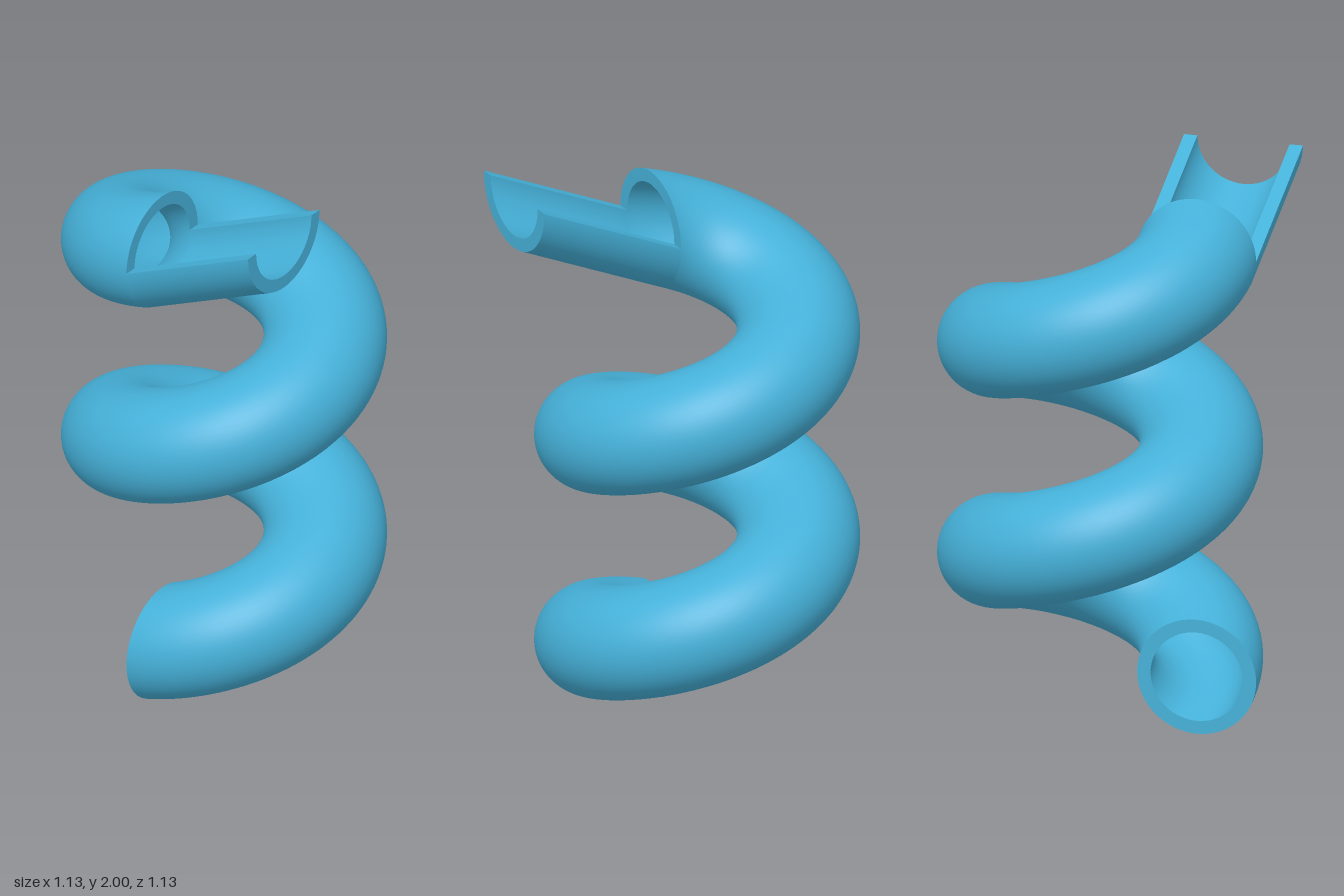
import * as THREE from 'three';
import { ParametricGeometry } from 'three/addons/geometries/ParametricGeometry.js';
import { mergeGeometries } from 'three/addons/utils/BufferGeometryUtils.js';

const COIL = 0.35;              // radius of the helix centre line
const OUTER = 0.213, INNER = 0.165;
const START = 0.06, END = START + Math.PI * 4;
const lerp = THREE.MathUtils.lerp;

// Point on an upright round section at polar angle a, radius r, around a centre
function sectionPoint(center, theta, a, r, out) {
  const phi = theta + 0.04;
  const h = r * Math.cos(a);
  return out.set(
    center.x - h * Math.cos(phi),
    center.y + 0.985 * r * Math.sin(a),
    center.z + h * Math.sin(phi)
  );
}

const center = new THREE.Vector3();

// Helical pipe, s from 0 (bottom) to 1 (top)
function coilPoint(s, a, r, out) {
  const theta = lerp(START, END, s);
  center.set(-COIL * Math.cos(theta), lerp(0.21, 1.76, s), COIL * Math.sin(theta));
  return sectionPoint(center, theta, a, r, out);
}

// Straight channel leaving the upper end of the pipe
function chutePoint(s, a, r, out) {
  const d = 0.53 * s;
  center.set(
    -COIL * Math.cos(START) + d * Math.sin(START),
    1.76 + 0.24 * s,
    COIL * Math.sin(START) + d * Math.cos(START)
  );
  return sectionPoint(center, START, a, r, out);
}

// Thick-walled sweep between section angles a0 and a1; open arcs also get rims
function hollowSweep(point, a0, a1, steps, sides, open) {
  const A = (v) => lerp(a0, a1, v);
  const R = (v) => lerp(INNER, OUTER, v);
  const patch = (fn, nu, nv) => new ParametricGeometry(fn, nu, nv);
  const parts = [
    patch((u, v, t) => point(u, A(v), OUTER, t), steps, sides),
    patch((u, v, t) => point(u, A(1 - v), INNER, t), steps, sides),
    patch((u, v, t) => point(0, A(v), R(u), t), 1, sides),
    patch((u, v, t) => point(1, A(u), R(v), t), sides, 1),
  ];
  if (open) {
    parts.push(patch((u, v, t) => point(u, a0, R(v), t), steps, 1));
    parts.push(patch((u, v, t) => point(v, a1, R(u), t), 1, steps));
  }
  return mergeGeometries(parts);
}

export function createModel() {
  const group = new THREE.Group();
  const material = new THREE.MeshStandardMaterial({ color: 0x45b0d8, side: THREE.DoubleSide });

  const coil = new THREE.Mesh(hollowSweep(coilPoint, 0, Math.PI * 2, 240, 64, false), material);
  coil.name = 'spiralPipe';

  const chute = new THREE.Mesh(hollowSweep(chutePoint, Math.PI, Math.PI * 2, 4, 32, true), material);
  chute.name = 'entryChute';

  group.add(coil, chute);
  return group;
}
